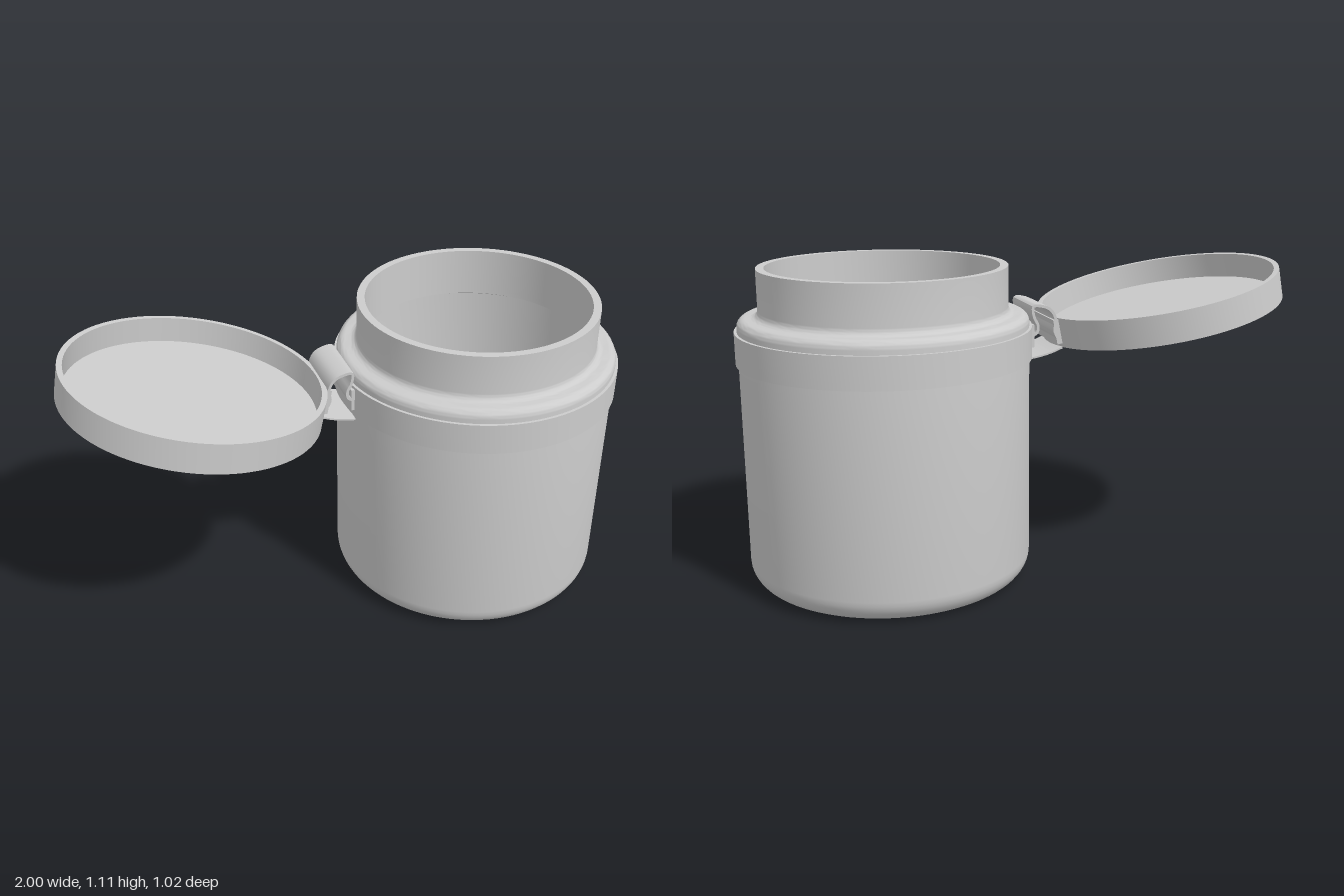
import * as THREE from 'three';
import { toCreasedNormals } from 'three/addons/utils/BufferGeometryUtils.js';

const greyPlastic = new THREE.MeshStandardMaterial({ color: 0xcccccc });
greyPlastic.name = 'grey plastic';

function addMesh(parent, name, geometry) {
  const mesh = new THREE.Mesh(toCreasedNormals(geometry, 0.6), greyPlastic);
  mesh.name = name;
  parent.add(mesh);
  return mesh;
}

const lathe = (points) =>
  new THREE.LatheGeometry(points.map(([r, y]) => new THREE.Vector2(r, y)), 96);

// Rounded corner of a profile, from angle a to angle b in degrees
function arc(cx, cy, r, a, b, steps = 8) {
  return Array.from({ length: steps + 1 }, (_, i) => {
    const t = THREE.MathUtils.degToRad(a + ((b - a) * i) / steps);
    return [cx + r * Math.cos(t), cy + r * Math.sin(t)];
  });
}

// Thin strip that follows a side path in x and y, extruded along z
function strap(points, thickness, width) {
  const curve = new THREE.CatmullRomCurve3(points.map(([x, y]) => new THREE.Vector3(x, y, 0)));
  const outer = [];
  const inner = [];
  const steps = 32;
  for (let i = 0; i <= steps; i++) {
    const p = curve.getPoint(i / steps);
    const t = curve.getTangent(i / steps);
    const h = thickness / 2;
    outer.push(new THREE.Vector2(p.x - t.y * h, p.y + t.x * h));
    inner.push(new THREE.Vector2(p.x + t.y * h, p.y - t.x * h));
  }
  const shape = new THREE.Shape([...outer, ...inner.reverse()]);
  const geometry = new THREE.ExtrudeGeometry(shape, { depth: width, bevelEnabled: false });
  return geometry.translate(0, 0, -width / 2);
}

export function createModel() {
  const model = new THREE.Group();
  model.name = 'flipTopJar';

  // Hollow jar: rounded foot, shoulder, neck, then back down the inside
  const jar = new THREE.Group();
  jar.name = 'jar';
  jar.position.x = 0.487;
  model.add(jar);
  addMesh(jar, 'jarBody', lathe([
    [0, 0],
    ...arc(0.415, 0.085, 0.085, -90, 0),
    ...arc(0.47, 0.915, 0.03, 0, 90),
    ...arc(0.453, 0.97, 0.025, 270, 180),
    [0.428, 1.11], [0.4, 1.11], [0.4, 0.95],
    [0.4, 0.935], [0.455, 0.915], [0.47, 0.9],
    ...arc(0.41, 0.09, 0.06, 0, -90),
    [0, 0.03],
  ]));

  // Raised collar around the shoulder
  addMesh(jar, 'collarBand', lathe([
    [0.49, 0.79], [0.51, 0.79], [0.51, 0.9], [0.49, 0.9], [0.49, 0.79],
  ]));

  // Open lid, tilted away from the jar
  const lid = addMesh(model, 'lid', lathe([
    [0, 0], [0.449, 0], [0.449, 0.108], [0.43, 0.108], [0.43, 0.016], [0, 0.016],
  ]));
  lid.position.set(-0.56, 0.888, 0);
  lid.rotation.z = -0.196;

  // Hinge: an arched spring strip, a thin strap below, and a mount on each side
  const hinge = new THREE.Group();
  hinge.name = 'hinge';
  model.add(hinge);
  addMesh(hinge, 'hingeBow', strap([
    [-0.11, 0.84], [-0.1, 0.865], [-0.104, 0.905], [-0.085, 0.94], [-0.05, 0.955],
    [-0.021, 0.955], [-0.022, 0.92], [-0.038, 0.885], [-0.033, 0.86], [-0.012, 0.85],
  ], 0.01, 0.215));
  addMesh(hinge, 'hingeStrap', strap([
    [-0.13, 0.802], [-0.09, 0.787], [-0.05, 0.777], [-0.008, 0.77],
  ], 0.006, 0.215));
  for (const [name, x, y, height] of [['lidMount', -0.112, 0.86, 0.09], ['jarMount', -0.014, 0.85, 0.08]]) {
    const mount = addMesh(hinge, name, new THREE.BoxGeometry(0.02, height, 0.215));
    mount.position.set(x, y, 0);
    if (name === 'lidMount') mount.rotation.z = -0.196;
  }

  return model;
}
